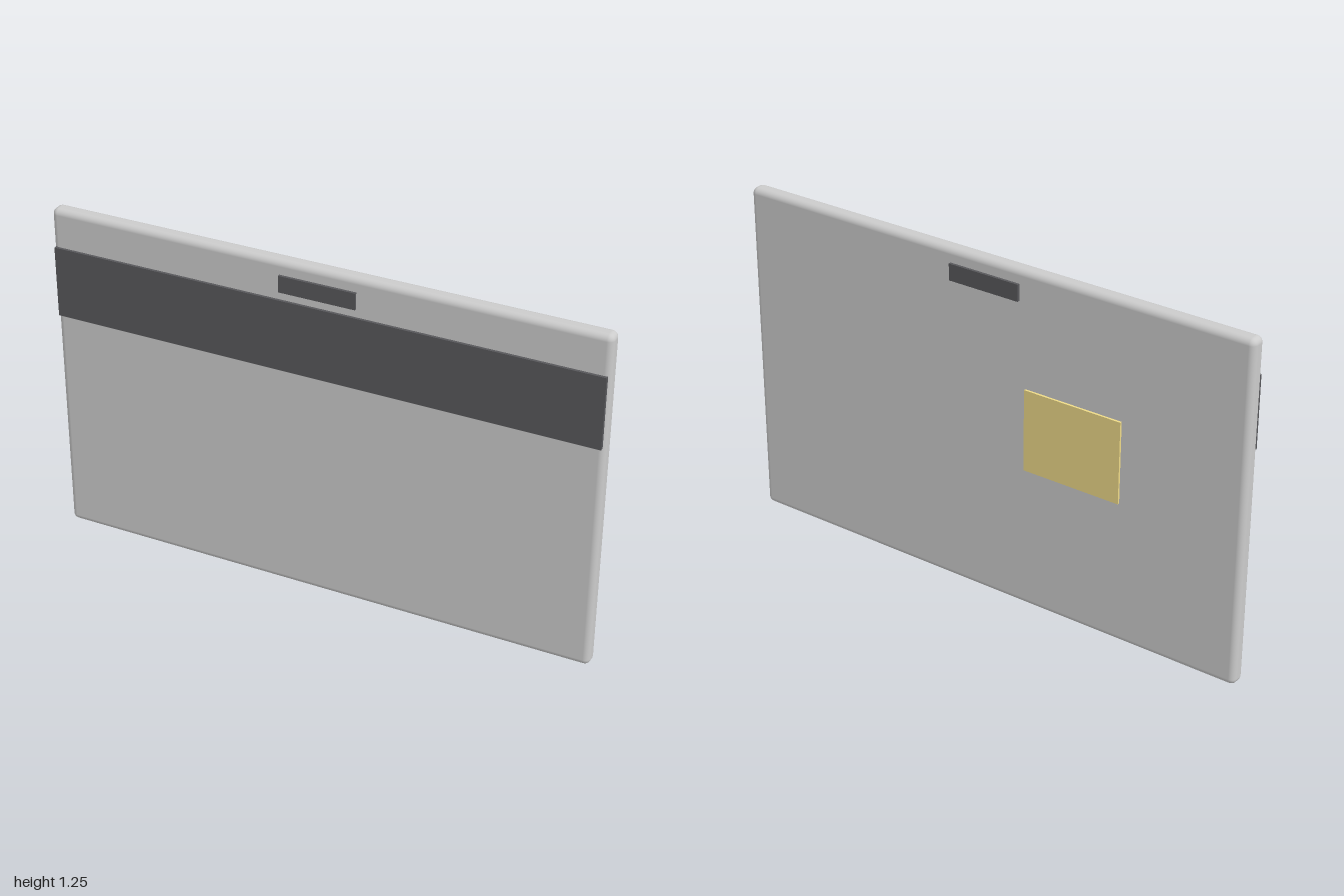
import * as THREE from 'three';
import { RoundedBoxGeometry } from 'three/addons/geometries/RoundedBoxGeometry.js';

const grey = new THREE.MeshStandardMaterial({ color: 0xcccccc });
const dark = new THREE.MeshStandardMaterial({ color: 0x58585b });
const gold = new THREE.MeshStandardMaterial({ color: 0xeeda88 });

export function createModel() {
  const group = new THREE.Group();
  const add = (name, geometry, material, x, y, z) => {
    const mesh = new THREE.Mesh(geometry, material);
    mesh.name = name;
    mesh.position.set(x, y, z);
    group.add(mesh);
  };

  // Card body with softly rounded edges
  add('cardBody', new RoundedBoxGeometry(2, 1.25, 0.06, 4, 0.022), grey, 0, 0.625, 0);

  // Dark band across the front
  add('frontStripe', new THREE.BoxGeometry(1.98, 0.26, 0.02), dark, 0, 0.98, 0.03);

  // Lanyard slot, standing proud on both faces
  add('lanyardSlot', new THREE.BoxGeometry(0.275, 0.06, 0.08), dark, 0, 1.17, 0);

  // Contact plate on the back
  add('contactChip', new THREE.BoxGeometry(0.375, 0.3, 0.016), gold, -0.352, 0.68, -0.03);

  return group;
}
